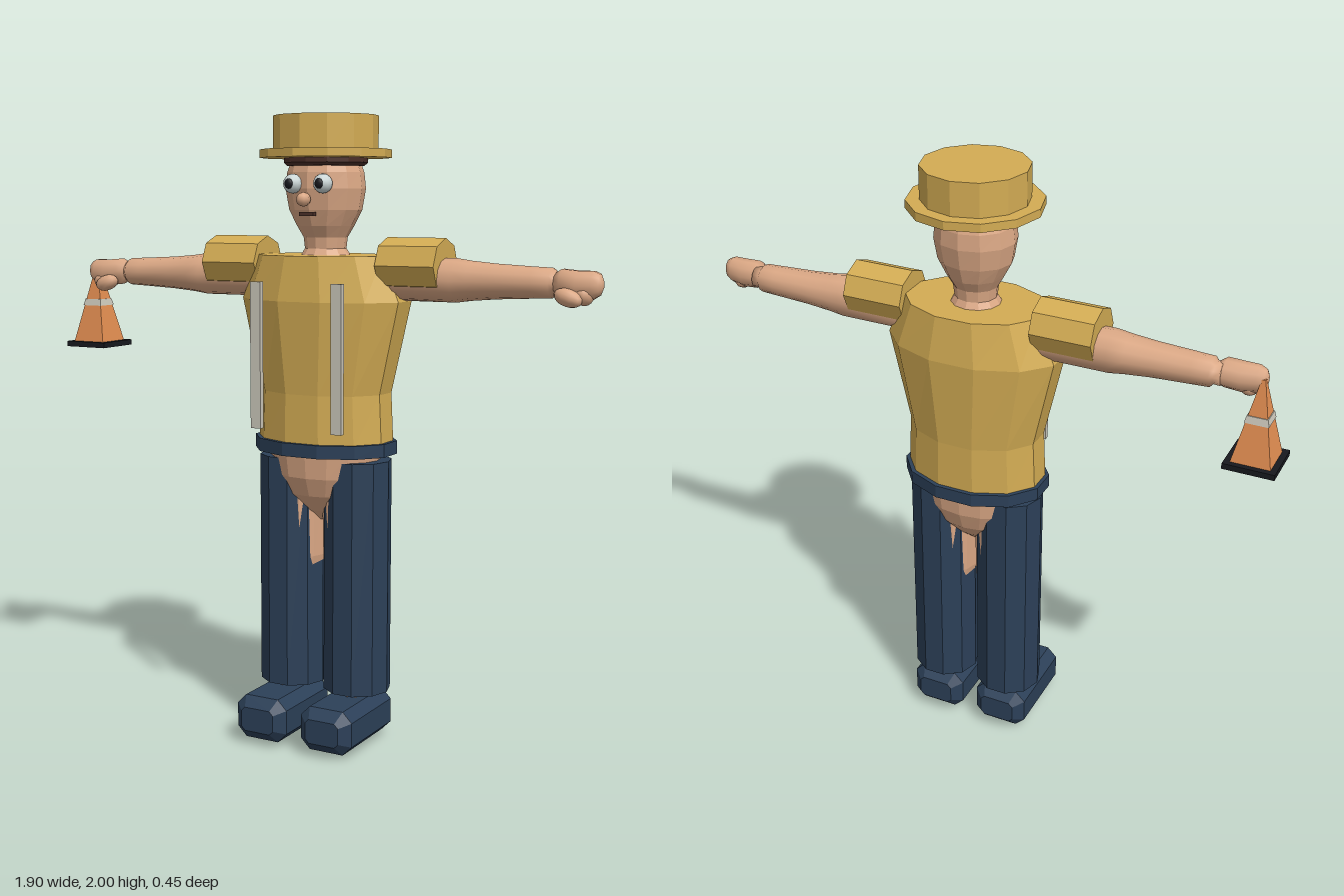
import * as THREE from 'three';

const mat = (name, color) => Object.assign(new THREE.MeshStandardMaterial({ color }), { name });

// Closed loft along y through rings [y, rx, rz, cx, cz]; flat or smooth sides
function loft(rings, sides, { half = 0, flat = true } = {}) {
  const pos = [], idx = [];
  for (const [y, rx, rz, cx = 0, cz = 0] of rings)
    for (let i = 0; i < sides; i++) {
      const a = ((i + half) / sides) * Math.PI * 2;
      pos.push(cx + Math.sin(a) * rx, y, cz + Math.cos(a) * rz);
    }
  const last = (rings.length - 1) * sides, n = rings.length * sides;
  for (const r of [rings[0], rings[rings.length - 1]]) pos.push(r[3] || 0, r[0], r[4] || 0);
  for (let i = 0; i < sides; i++) {
    const j = (i + 1) % sides;
    for (let k = 0; k < last; k += sides)
      idx.push(k + i, k + j, k + sides + j, k + i, k + sides + j, k + sides + i);
    idx.push(n, j, i, n + 1, last + i, last + j);
  }
  let g = new THREE.BufferGeometry();
  g.setAttribute('position', new THREE.Float32BufferAttribute(pos, 3));
  g.setIndex(idx);
  if (flat) g = g.toNonIndexed();
  g.computeVertexNormals();
  return g;
}

// Box with bevelled edges, bevelled in all directions
function bevelBox(w, h, d, b) {
  const x = w / 2, y = h / 2, s = new THREE.Shape();
  s.moveTo(-x + b, -y); s.lineTo(x - b, -y); s.lineTo(x, -y + b); s.lineTo(x, y - b);
  s.lineTo(x - b, y); s.lineTo(-x + b, y); s.lineTo(-x, y - b); s.lineTo(-x, -y + b);
  s.closePath();
  const g = new THREE.ExtrudeGeometry(s, {
    depth: d - 2 * b, bevelEnabled: true, bevelThickness: b, bevelSize: b, bevelOffset: -b, bevelSegments: 1,
  });
  return g.translate(0, 0, -d / 2 + b);
}

export function createModel() {
  const root = new THREE.Group();
  root.name = 'figure';
  const yellow = mat('yellow', 0xd3ac54), skin = mat('skin', 0xdba885), navy = mat('navy', 0x2c4058);
  const orange = mat('orange', 0xe08c50), grey = mat('light grey', 0xcbc7ba), black = mat('black', 0x17191e);
  const white = mat('eye white', 0xcdd8d8), brown = mat('dark brown', 0x4b3029);

  const body = new THREE.Group();
  body.name = 'body';
  body.position.set(0.033, 0, -0.012);
  root.add(body);
  const add = (name, geo, material, x = 0, y = 0, z = 0, parent = body) => {
    const m = new THREE.Mesh(geo, material);
    m.name = name;
    m.position.set(x, y, z);
    parent.add(m);
    return m;
  };
  const ball = (rx, ry, rz, w = 12, h = 8) => new THREE.SphereGeometry(1, w, h).scale(rx, ry, rz);

  // Torso and waist
  add('shirt', loft([
    [0.975, 0.23, 0.163], [1.14, 0.222, 0.162], [1.43, 0.289, 0.181], [1.57, 0.23, 0.162],
  ], 12, { half: 0.5 }), yellow);
  add('belt', loft([[0.945, 0.242, 0.177], [0.987, 0.242, 0.177]], 12, { half: 0.5 }), navy);
  add('pelvis', loft([
    [0.72, 0.02, 0.02], [0.755, 0.075, 0.06], [0.81, 0.14, 0.108], [0.87, 0.178, 0.13], [0.95, 0.192, 0.137],
  ], 16), skin);

  // Head, hair and hat
  add('headAndNeck', loft([
    [1.56, 0.085, 0.08], [1.59, 0.066, 0.064], [1.625, 0.07, 0.068], [1.66, 0.09, 0.09],
    [1.71, 0.117, 0.108], [1.775, 0.128, 0.12], [1.825, 0.122, 0.118], [1.87, 0.105, 0.105],
  ], 12), skin);
  add('hair', loft([[1.845, 0.12, 0.12], [1.855, 0.132, 0.13], [1.872, 0.132, 0.13]], 12), brown);
  add('hatBrim', loft([[1.87, 0.207, 0.207], [1.896, 0.207, 0.207]], 12), yellow);
  add('hatCrown', loft([[1.89, 0.165, 0.165], [2, 0.165, 0.165]], 12), yellow);

  // Face
  for (const s of [-1, 1]) {
    add('eye', ball(0.03, 0.03, 0.03), white, s * 0.053, 1.79, 0.115);
    add('pupil', ball(0.014, 0.016, 0.009), black, s * 0.053, 1.79, 0.141);
  }
  add('nose', ball(0.02, 0.022, 0.03, 8, 6), skin, 0, 1.742, 0.142);
  add('mouth', new THREE.BoxGeometry(0.05, 0.012, 0.02), brown, 0, 1.697, 0.117);

  // Front straps
  for (const s of [-1, 1])
    add('strap', new THREE.BoxGeometry(0.036, 0.46, 0.018), grey, s * 0.143, 1.26, 0.187);

  // Arms: built pointing to +x and mirrored
  const sleeve = loft([[0.215, 0.085, 0.09], [0.412, 0.085, 0.09]], 8).rotateZ(-Math.PI / 2);
  const armGeo = loft([
    [0.2, 0.067, 0.067], [0.45, 0.067, 0.067], [0.5, 0.06, 0.062], [0.58, 0.053, 0.056],
    [0.7, 0.047, 0.052], [0.755, 0.045, 0.048], [0.765, 0.034, 0.038], [0.785, 0.036, 0.038],
  ], 12, { flat: false }).rotateZ(-Math.PI / 2);
  const handGeo = loft([
    [0.765, 0.03, 0.03], [0.79, 0.045, 0.042, 0, 0.008], [0.84, 0.046, 0.042, 0.005, 0.012],
    [0.885, 0.043, 0.036, 0.002, 0.012], [0.905, 0.032, 0.026, 0, 0.012], [0.913, 0.014, 0.012, 0, 0.012],
  ], 10, { flat: false }).rotateZ(-Math.PI / 2);
  for (const s of [-1, 1]) {
    const arm = new THREE.Group();
    arm.name = s > 0 ? 'leftArm' : 'rightArm';
    arm.scale.x = s;
    body.add(arm);
    add('sleeve', sleeve, yellow, 0, 1.542, -0.004, arm);
    add('arm', armGeo, skin, 0, 1.5, -0.006, arm);
    add('hand', handGeo, skin, 0, 1.5, 0, arm);
    add('thumb', ball(0.045, 0.026, 0.026, 10, 8), skin, 0.822, 1.462, 0.052, arm).rotation.z = -0.3;
    add('knuckles', ball(0.03, 0.03, 0.035, 10, 8), skin, 0.86, 1.468, 0.02, arm);
  }

  // Legs and shoes
  for (const s of [-1, 1]) {
    const leg = new THREE.Group();
    leg.name = s > 0 ? 'leftLeg' : 'rightLeg';
    leg.position.x = s * 0.118;
    body.add(leg);
    add('trouserLeg', loft([[0.17, 0.109, 0.109], [0.925, 0.109, 0.109]], 10, { half: 0.5 }), navy, 0, 0, 0, leg);
    add('thigh', loft([[0.53, 0.08, 0.08], [0.6, 0.095, 0.09], [0.8, 0.098, 0.095]], 12), skin, -s * 0.018, 0, 0, leg);
    add('ankle', loft([[0.12, 0.062, 0.075], [0.2, 0.055, 0.07]], 12), skin, 0, 0, 0, leg);
    add('shoe', bevelBox(0.182, 0.142, 0.338, 0.032), navy, 0, 0.086, 0.071, leg);
    add('sole', ball(0.075, 0.04, 0.095), skin, 0, 0.04, 0.062, leg);
  }

  // Traffic cone held in the right hand
  const cone = new THREE.Group();
  cone.name = 'trafficCone';
  cone.position.set(-0.873, 0, -0.02);
  root.add(cone);
  const pyramid = (y0, h0, y1, h1) =>
    loft([[y0, h0 * Math.SQRT2, h0 * Math.SQRT2], [y1, h1 * Math.SQRT2, h1 * Math.SQRT2]], 4, { half: 0.5 });
  add('coneBase', new THREE.BoxGeometry(0.158, 0.018, 0.158), black, 0, 1.248, 0, cone);
  add('coneBody', pyramid(1.255, 0.061, 1.51, 0.006), orange, 0, 0, 0, cone);
  add('coneStripe', pyramid(1.38, 0.037, 1.402, 0.032), grey, 0, 0, 0, cone);

  return root;
}
